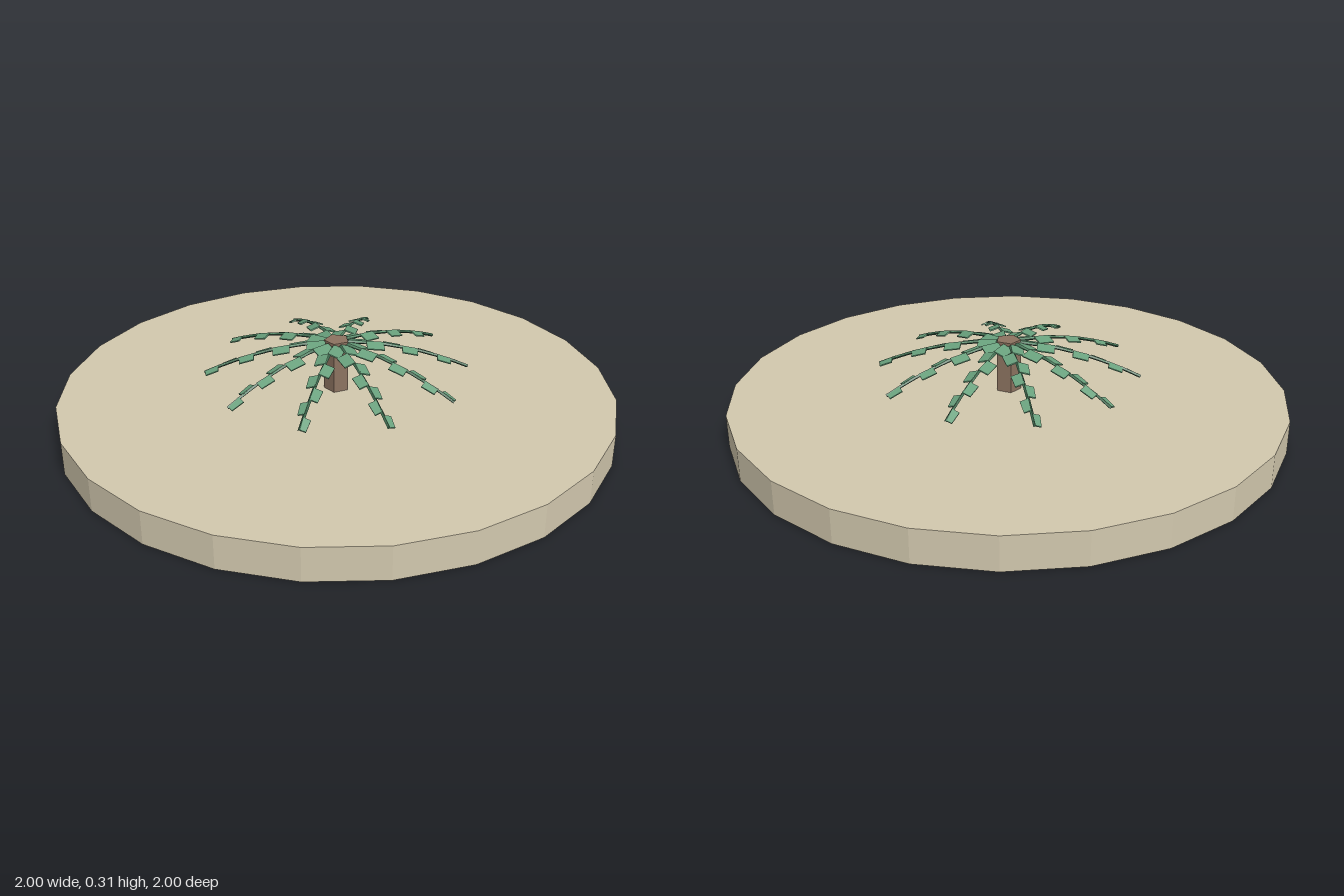
import * as THREE from 'three';

const mat = (name, color, extra = {}) => {
  const m = new THREE.MeshStandardMaterial({ color, flatShading: true, ...extra });
  m.name = name;
  return m;
};

export function createModel() {
  const sand = mat('sand', 0xd2c8ae);
  const bark = mat('bark', 0x8c7360);
  const leaf = mat('leaf', 0x69a17d);
  const stemGreen = mat('stem green', 0x3f6b4f);
  const model = new THREE.Group();

  const add = (parent, name, geometry, material) => {
    const mesh = new THREE.Mesh(geometry, material);
    mesh.name = name;
    parent.add(mesh);
    return mesh;
  };

  // Round ground slab
  add(model, 'ground', new THREE.CylinderGeometry(1, 1, 0.12, 24), sand).position.y = 0.06;

  // Short faceted trunk
  const trunk = add(model, 'trunk', new THREE.CylinderGeometry(0.046, 0.046, 0.19, 5), bark);
  trunk.position.y = 0.215;
  trunk.rotation.y = 0.35;

  // Drooping line followed by each frond
  const reach = 0.475;
  const height = (r) => 0.3 - 0.108 * (r / reach) ** 2;
  const path = [0, 0.1, 0.2, 0.3, 0.4, reach].map((r) => new THREE.Vector3(r, height(r), 0));
  const stemGeometry = new THREE.TubeGeometry(new THREE.CatmullRomCurve3(path), 8, 0.006, 4);

  // Ten fronds with leaflets on alternate sides
  for (let i = 0; i < 10; i++) {
    const frond = new THREE.Group();
    frond.name = 'frond';
    frond.rotation.y = (i * Math.PI) / 5;
    add(frond, 'stem', stemGeometry, stemGreen);
    for (let k = 0; k < 7; k++) {
      const t = k / 6;
      const side = k % 2 ? 1 : -1;
      const r = 0.075 + 0.373 * t;
      const width = 0.046 - 0.02 * t;
      const slope = (-2 * 0.108 * r) / reach ** 2;
      const leaflet = add(frond, 'leaflet', new THREE.BoxGeometry(0.066 - 0.016 * t, 0.005, width), leaf);
      leaflet.position.set(r, height(r) - 0.002, side * width * 0.42);
      leaflet.rotation.set(side * 0.3, side * 0.08, Math.atan(slope), 'ZYX');
    }
    model.add(frond);
  }
  return model;
}
